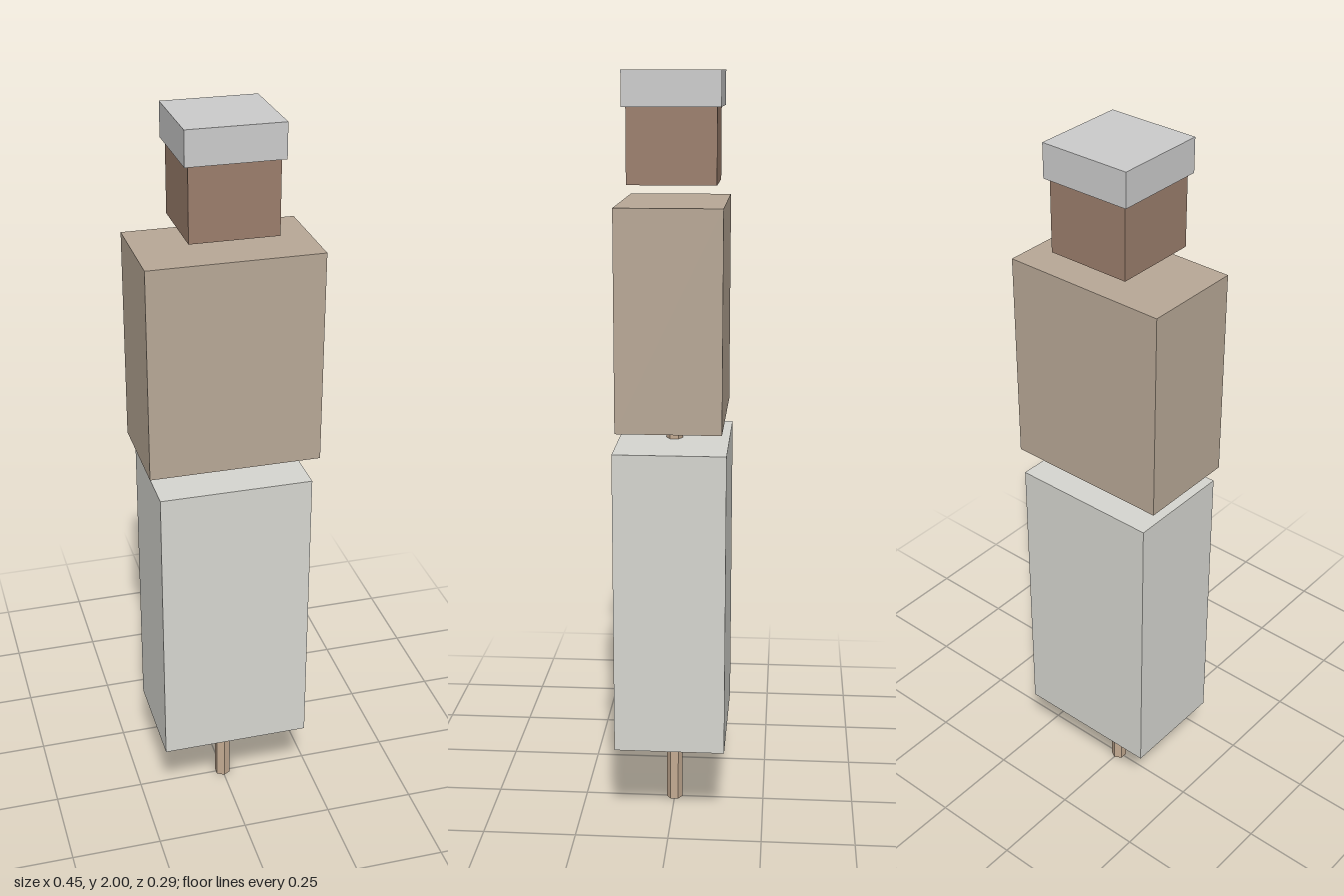
import * as THREE from 'three';

export function createModel() {
  const model = new THREE.Group();

  const add = (name, geometry, color, yMin, yMax) => {
    const material = new THREE.MeshStandardMaterial({ color, flatShading: true });
    const mesh = new THREE.Mesh(geometry, material);
    mesh.name = name;
    mesh.position.y = (yMin + yMax) / 2;
    model.add(mesh);
  };

  const block = (name, color, width, depth, yMin, yMax) =>
    add(name, new THREE.BoxGeometry(width, yMax - yMin, depth), color, yMin, yMax);

  // Six-sided rod running up through the lower block into the torso
  add('rod', new THREE.CylinderGeometry(0.0225, 0.0225, 1.12, 6), 0xc4ab92, 0, 1.12);

  // Stacked blocks, bottom to top
  block('lowerBody', 0xd6d6d0, 0.408, 0.294, 0.23, 1.047);
  block('torso', 0xb8a896, 0.454, 0.272, 1.107, 1.673);
  block('head', 0x9b7e6c, 0.228, 0.228, 1.72, 1.911);
  block('cap', 0xc3c3c6, 0.249, 0.249, 1.911, 2);

  return model;
}
